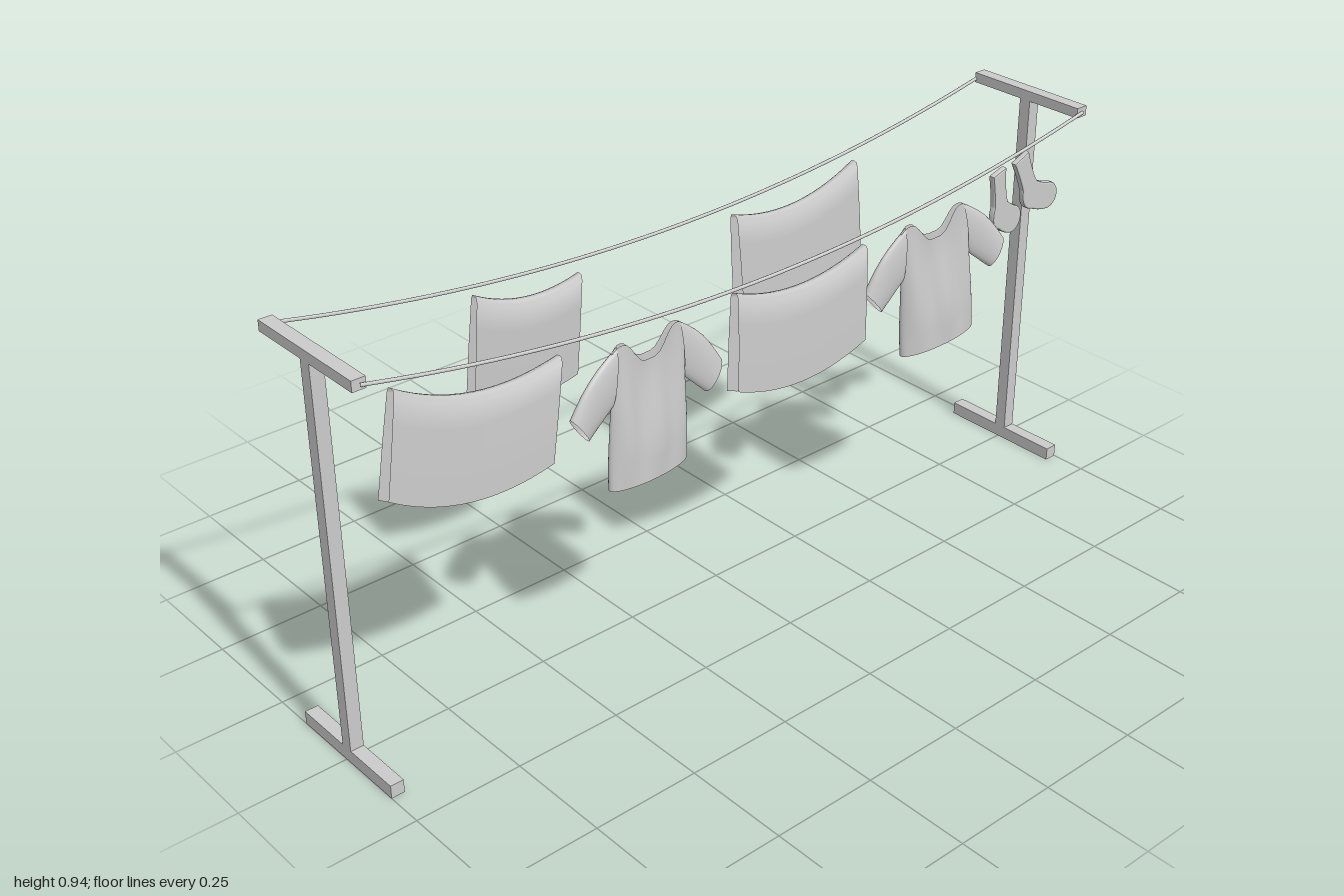
import * as THREE from 'three';
import { ParametricGeometry } from 'three/addons/geometries/ParametricGeometry.js';

const grey = new THREE.MeshStandardMaterial({ color: 0xcccccc });
const cloth = new THREE.MeshStandardMaterial({ color: 0xcccccc, side: THREE.DoubleSide });
const { lerp, smoothstep, degToRad } = THREE.MathUtils;

const ROPE_X = [-0.153, 0.165];

function box(name, w, h, d, x, y, z) {
  const m = new THREE.Mesh(new THREE.BoxGeometry(w, h, d), grey);
  m.name = name;
  m.position.set(x, y, z);
  return m;
}

// T-shaped post with a foot bar
function createPost(z) {
  const g = new THREE.Group();
  g.name = 'post';
  g.add(
    box('footBar', 0.317, 0.031, 0.031, 0.004, 0.0155, z),
    box('upright', 0.03, 0.888, 0.031, 0.004, 0.475, z),
    box('crossBar', 0.317, 0.024, 0.031, 0.004, 0.931, z)
  );
  return g;
}

// Sagging line between the posts
function createRope(x) {
  const pts = [];
  for (let i = 0; i <= 16; i++) {
    const z = lerp(-0.985, 0.985, i / 16);
    pts.push(new THREE.Vector3(x, 0.826 + 0.108 * z * z, z));
  }
  const curve = new THREE.CatmullRomCurve3(pts);
  const m = new THREE.Mesh(new THREE.TubeGeometry(curve, 48, 0.004, 8), grey);
  m.name = 'clothesline';
  return m;
}

// Turns laundry made in its own x-y plane so that it hangs along the line
function hang(obj, x, y, z, roll = 0, yaw = 0, lean = 0) {
  obj.position.set(x, y, z);
  obj.rotation.set(degToRad(lean), Math.PI / 2 + degToRad(yaw), degToRad(roll), 'YXZ');
  return obj;
}

// Towel folded over, pinned at its top corners and sagging between them
function createTowel(w, h, sag) {
  const profile = [
    [-0.018, -h], [-0.016, -h * 0.5], [-0.012, -0.012], [-0.008, -0.002], [0, 0],
    [0.008, -0.002], [0.012, -0.012], [0.016, -h * 0.5], [0.018, -h + 0.012]
  ];
  const n = profile.length - 1;
  const geo = new ParametricGeometry((u, v, p) => {
    const i = Math.min(Math.floor(v * n), n - 1), t = v * n - i;
    const d = lerp(profile[i][0], profile[i + 1][0], t);
    const y = lerp(profile[i][1], profile[i + 1][1], t);
    const s = 2 * u - 1;
    p.set(s * w / 2, y - sag * (1 - s * s), d);
  }, 14, n * 2);
  const m = new THREE.Mesh(geo, cloth);
  m.name = 'towel';
  return m;
}

// Shirt: open body tube with a dipped neckline, and two short sleeves
function createShirt() {
  const g = new THREE.Group();
  g.name = 'shirt';

  const body = new THREE.Mesh(new ParametricGeometry((u, v, p) => {
    const a = u * Math.PI * 2, c = Math.cos(a), s = Math.sin(a);
    const halfWidth = lerp(0.108, 0.1, smoothstep(v, 0, 0.7));
    const depth = lerp(0.029, 0.007, smoothstep(v, 0.2, 1));
    const x = c * halfWidth;
    const neck = 1 - smoothstep(Math.abs(x), 0.015, 0.07);
    const top = -0.045 * neck - (s > 0 ? 0.008 * neck : 0) - 0.012 * smoothstep(Math.abs(x), 0.08, 0.1);
    const fold = 0.004 * Math.sin(x * 75 + 0.8) * Math.sin(v * Math.PI);
    p.set(x, lerp(-0.32, top, v), s * depth + fold);
  }, 48, 16), cloth);
  body.name = 'shirtBody';
  g.add(body);

  for (const side of [-1, 1]) {
    // Armhole and cuff are each given by their upper and lower points
    const armTop = [0.085, -0.002], armLow = [0.098, -0.13];
    const cuffTop = [0.2, -0.125], cuffLow = [0.157, -0.187];
    const sleeve = new THREE.Mesh(new ParametricGeometry((u, v, p) => {
      const a = u * Math.PI * 2, k = (1 + Math.cos(a)) / 2;
      const at = i => lerp(lerp(armLow[i], armTop[i], k), lerp(cuffLow[i], cuffTop[i], k), v);
      const bulge = 0.012 * Math.sin(v * Math.PI) * k;
      p.set(side * (at(0) + bulge * 0.7), at(1) + bulge * 0.7, Math.sin(a) * lerp(0.011, 0.016, v)
        + side * 0.008 * v);
    }, 20, 6), cloth);
    sleeve.name = side < 0 ? 'sleeveLeft' : 'sleeveRight';
    g.add(sleeve);
  }
  return g;
}

// Sock: rounded outline with a thin padded body
function createSock() {
  const s = new THREE.Shape();
  s.moveTo(0, 0);
  s.lineTo(0.047, 0.01);
  s.quadraticCurveTo(0.05, -0.05, 0.062, -0.077);
  s.quadraticCurveTo(0.08, -0.092, 0.1, -0.1);
  s.bezierCurveTo(0.128, -0.115, 0.122, -0.162, 0.085, -0.164);
  s.quadraticCurveTo(0.06, -0.16, 0.035, -0.14);
  s.bezierCurveTo(0.01, -0.13, 0.005, -0.11, 0.014, -0.08);
  s.quadraticCurveTo(0.01, -0.04, 0, 0);
  const geo = new THREE.ExtrudeGeometry(s, {
    depth: 0.008, curveSegments: 8, bevelThickness: 0.004, bevelSize: 0.004, bevelOffset: -0.004, bevelSegments: 2
  });
  geo.translate(0, 0, -0.004);
  const m = new THREE.Mesh(geo, grey);
  m.name = 'sock';
  return m;
}

export function createModel() {
  const model = new THREE.Group();
  model.name = 'clothesLine';

  for (const z of [-0.9845, 0.9845]) model.add(createPost(z));
  for (const x of ROPE_X) model.add(createRope(x));

  model.add(
    // Laundry on the left line
    hang(createTowel(0.375, 0.235, 0.042), 0.155, 0.862, 0.727, -9, -2),
    hang(createShirt(), 0.16, 0.804, 0.322, -1, 4),
    hang(createTowel(0.375, 0.235, 0.038), 0.153, 0.808, -0.103, -1),
    hang(createShirt(), 0.16, 0.815, -0.5, 5, -4),
    hang(createSock(), 0.155, 0.85, -0.69, 0, 5),
    hang(createSock(), 0.153, 0.86, -0.764, 14, -4),
    // Laundry on the right line
    hang(createTowel(0.375, 0.235, 0.04), -0.154, 0.815, -0.375, 4),
    hang(createTowel(0.25, 0.245, 0.03), -0.152, 0.817, 0.383, -4, -7, 3)
  );
  return model;
}
